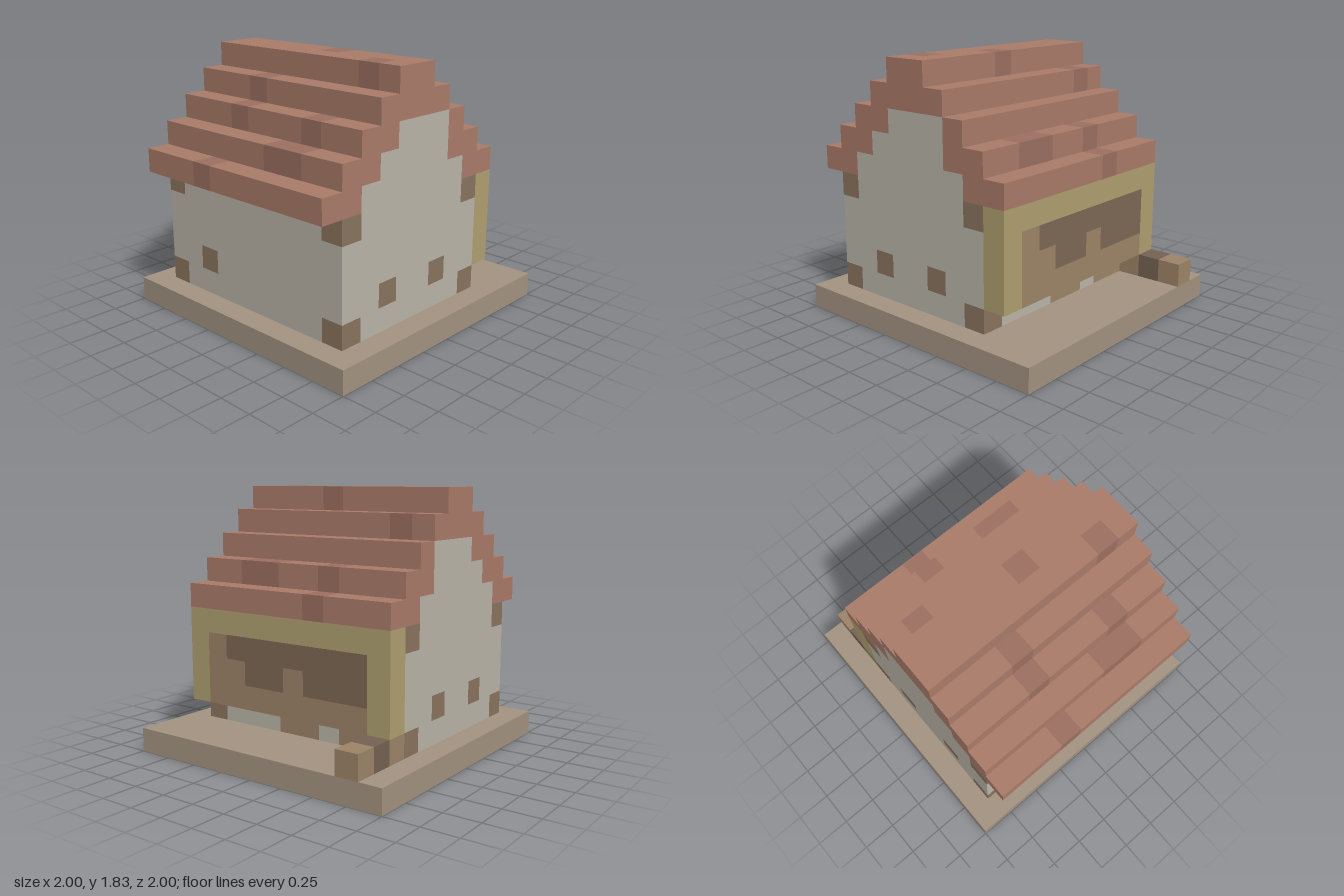
import * as THREE from 'three';
import { mergeGeometries } from 'three/addons/utils/BufferGeometryUtils.js';

const U = 1 / 6; // edge of one cube

const COLORS = {
  base: 0xa39381, walls: 0xbab5a8, timber: 0x8a745e, roof: 0xaa7b69, darkTiles: 0x9b6f60,
  balconyFrame: 0xb0a070, balconyPanel: 0x9e8468, balconyOpening: 0x7d6754, stepDark: 0x756352,
};

const DIRS = [[1, 0, 0], [-1, 0, 0], [0, 1, 0], [0, -1, 0], [0, 0, 1], [0, 0, -1]];

export function createModel() {
  // Cubes by lowest corner; later fills repaint earlier ones
  const cells = new Map();
  const key = (x, y, z) => `${x},${y},${z}`;
  const fill = (part, x0, x1, y0, y1, z0, z1) => {
    for (let x = x0; x < x1; x++)
      for (let y = y0; y < y1; y++)
        for (let z = z0; z < z1; z++) cells.set(key(x, y, z), { part, p: [x, y, z] });
  };
  const fillBothSides = (part, x0, x1, ...rest) => {
    fill(part, x0, x1, ...rest);
    fill(part, -x1, -x0, ...rest);
  };

  // Ground slab
  fill('base', -6, 6, 0, 1, -6, 6);

  // Long walls and stepped gables
  fill('walls', -5, 5, 1, 6, 4, 5);
  fill('walls', -5, 5, 1, 6, -3, -2);
  fillBothSides('walls', 4, 5, 1, 6, -3, 5);
  fillBothSides('walls', 4, 5, 6, 7, -2, 4);
  fillBothSides('walls', 4, 5, 7, 8, -1, 3);
  fillBothSides('walls', 4, 5, 8, 9, -1, 2);

  // Corner timbers and small windows
  for (const y of [1, 5])
    for (const z of [-3, 4]) fillBothSides('timber', 4, 5, y, y + 1, z, z + 1);
  for (const z of [-1, 2]) fillBothSides('timber', 4, 5, 2, 3, z, z + 1);
  fill('timber', -3, -2, 2, 3, 4, 5);

  // Woodwork in the lower back wall
  fill('balconyPanel', -1, 1, 1, 2, -3, -2);
  fill('balconyPanel', -4, -2, 1, 2, -3, -2);

  // Overhanging back storey: frame, panel and dark openings
  fill('balconyFrame', -5, 5, 2, 6, -4, -3);
  fill('balconyPanel', -4, 4, 2, 5, -4, -3);
  fill('balconyOpening', -4, 3, 4, 5, -4, -3);
  fill('balconyOpening', 0, 2, 3, 4, -4, -3);
  fill('balconyOpening', -4, -1, 3, 4, -4, -3);

  // Back steps
  fill('balconyPanel', -5, -4, 1, 2, -6, -3);
  fill('stepDark', -5, -4, 1, 2, -5, -4);

  // Roof courses: height, back and front ranges in z
  const courses = [
    [6, -4, -2], [6, 4, 6], [7, -3, -1], [7, 3, 5],
    [8, -2, -1], [8, 2, 4], [9, -1, 3], [10, 0, 2],
  ];
  for (const [y, z0, z1] of courses) fill('roof', -5, 5, y, y + 1, z0, z1);

  // Slightly darker tiles: x range, height, z
  const tiles = [
    [-2, -1, 9, 2], [-2, -1, 8, 3], [2, 3, 8, 3], [1, 3, 7, 4], [-2, -1, 6, 5],
    [-2, -1, 6, -4], [-2, -1, 7, -3], [1, 3, 7, -3], [-4, -3, 9, -1], [0, 1, 10, 0],
    [3, 4, 10, 1],
  ];
  for (const [x0, x1, y, z] of tiles) fill('darkTiles', x0, x1, y, y + 1, z, z + 1);

  // Exposed faces only; the slab is open underneath
  const front = new THREE.Vector3(0, 0, 1);
  const faces = DIRS.map((d) => new THREE.PlaneGeometry(1, 1).translate(0, 0, 0.5)
    .applyQuaternion(new THREE.Quaternion().setFromUnitVectors(front, new THREE.Vector3(...d))));
  const parts = {};
  for (const { part, p: [x, y, z] } of cells.values()) {
    DIRS.forEach(([dx, dy, dz], i) => {
      if (cells.has(key(x + dx, y + dy, z + dz)) || y + dy < 0) return;
      (parts[part] ??= []).push(faces[i].clone().translate(x + 0.5, y + 0.5, z + 0.5));
    });
  }

  const group = new THREE.Group();
  group.name = 'house';
  for (const [name, list] of Object.entries(parts)) {
    const geometry = mergeGeometries(list).scale(U, U, U);
    const material = new THREE.MeshStandardMaterial({ color: COLORS[name], side: THREE.DoubleSide });
    const mesh = new THREE.Mesh(geometry, material);
    mesh.name = name;
    group.add(mesh);
  }
  return group;
}
